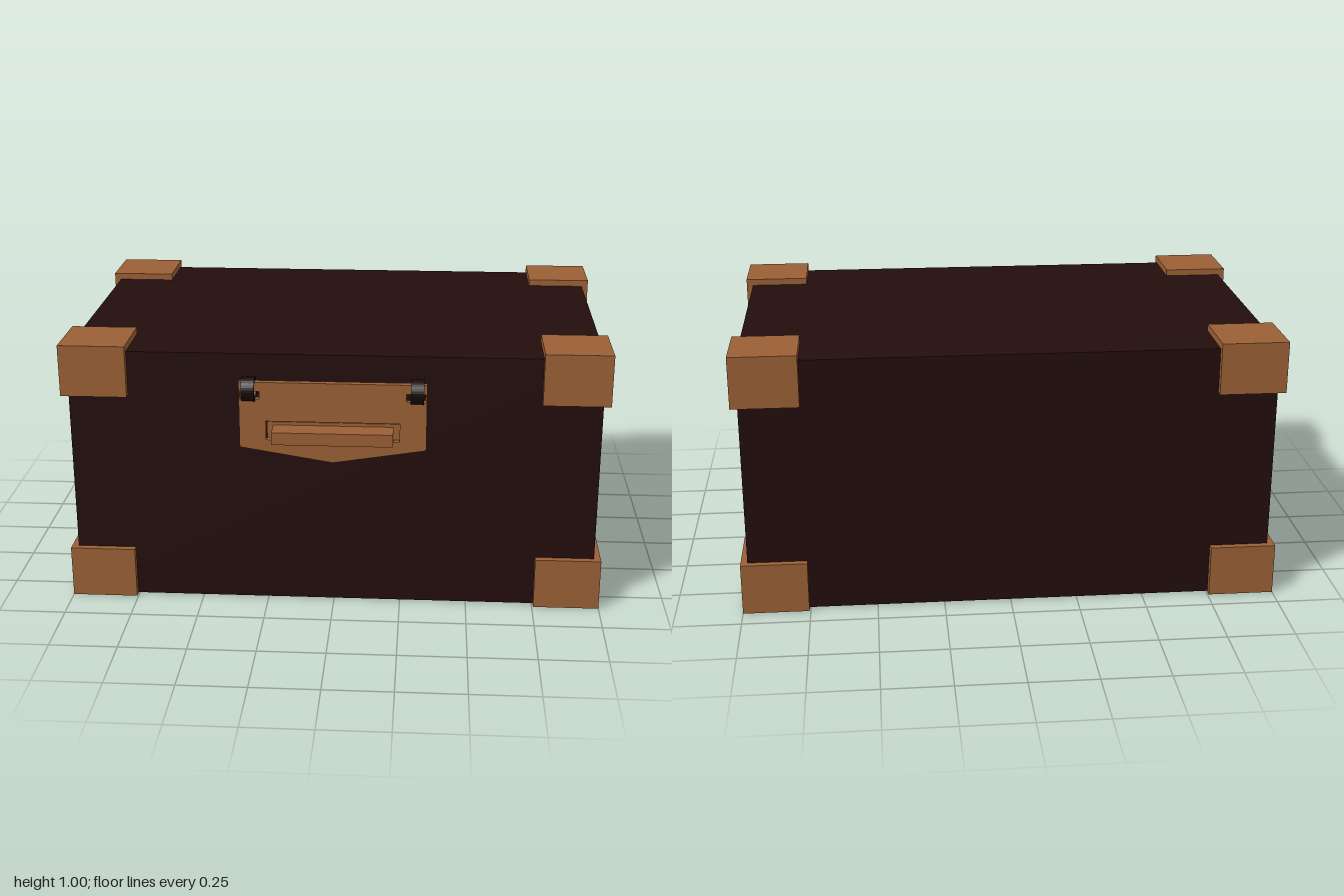
import * as THREE from 'three';

const leather = new THREE.MeshStandardMaterial({ name: 'dark leather', color: 0x220d0c });
const copper = new THREE.MeshStandardMaterial({ name: 'copper', color: 0x9a6035 });
const iron = new THREE.MeshStandardMaterial({ name: 'dark iron', color: 0x180a0a });

// Box given by its minimum and maximum corners
function box(name, material, min, max) {
  const size = max.map((v, i) => v - min[i]);
  const mesh = new THREE.Mesh(new THREE.BoxGeometry(...size), material);
  mesh.position.set(...max.map((v, i) => (v + min[i]) / 2));
  mesh.name = name;
  return mesh;
}

function rectHole(x0, x1, y0, y1) {
  return new THREE.Path([[x0, y0], [x0, y1], [x1, y1], [x1, y0]].map(p => new THREE.Vector2(...p)));
}

export function createModel() {
  const chest = new THREE.Group();
  chest.name = 'chest';

  // Body
  chest.add(box('body', leather, [-0.975, 0.003, -0.645], [0.975, 0.975, 0.575]));

  // Eight corner guards
  for (const [x0, x1] of [[-1, -0.755], [0.755, 1]])
    for (const [y0, y1] of [[0, 0.195], [0.807, 1]])
      for (const [z0, z1] of [[-0.67, -0.427], [0.355, 0.6]])
        chest.add(box('cornerGuard', copper, [x0, y0, z0], [x1, y1, z1]));

  // Hasp: pointed plate with a wide slot and two ring slots
  const hasp = new THREE.Group();
  hasp.name = 'hasp';
  const outline = [[-0.34, 0.885], [-0.34, 0.635], [0, 0.58], [0.34, 0.635], [0.34, 0.885]];
  const shape = new THREE.Shape(outline.map(p => new THREE.Vector2(...p)));
  shape.holes.push(
    rectHole(-0.243, 0.243, 0.665, 0.737),
    rectHole(-0.336, -0.266, 0.82, 0.85),
    rectHole(0.266, 0.336, 0.82, 0.85)
  );
  const plate = new THREE.Mesh(
    new THREE.ExtrudeGeometry(shape, { depth: 0.024, bevelEnabled: false }), copper);
  plate.position.z = 0.605;
  plate.name = 'haspPlate';
  hasp.add(plate);

  // Staple passing through the slot
  hasp.add(box('stapleBase', copper, [-0.243, 0.65, 0.57], [0.243, 0.72, 0.588]));
  hasp.add(box('stapleBar', copper, [-0.22, 0.661, 0.588], [0.22, 0.708, 0.67]));

  // Hinge rings
  const ringShape = new THREE.Shape().absarc(0, 0, 0.045, 0, Math.PI * 2);
  ringShape.holes.push(new THREE.Path().absarc(0, 0, 0.034, 0, Math.PI * 2, true));
  const ringGeometry = new THREE.ExtrudeGeometry(ringShape, { depth: 0.048, bevelEnabled: false, curveSegments: 16 });
  ringGeometry.translate(0, 0, -0.024).rotateY(Math.PI / 2);
  for (const side of [-1, 1]) {
    const ring = new THREE.Mesh(ringGeometry, iron);
    ring.position.set(side * 0.305, 0.855, 0.614);
    ring.name = 'hingeRing';
    hasp.add(ring);
  }
  chest.add(hasp);
  return chest;
}
